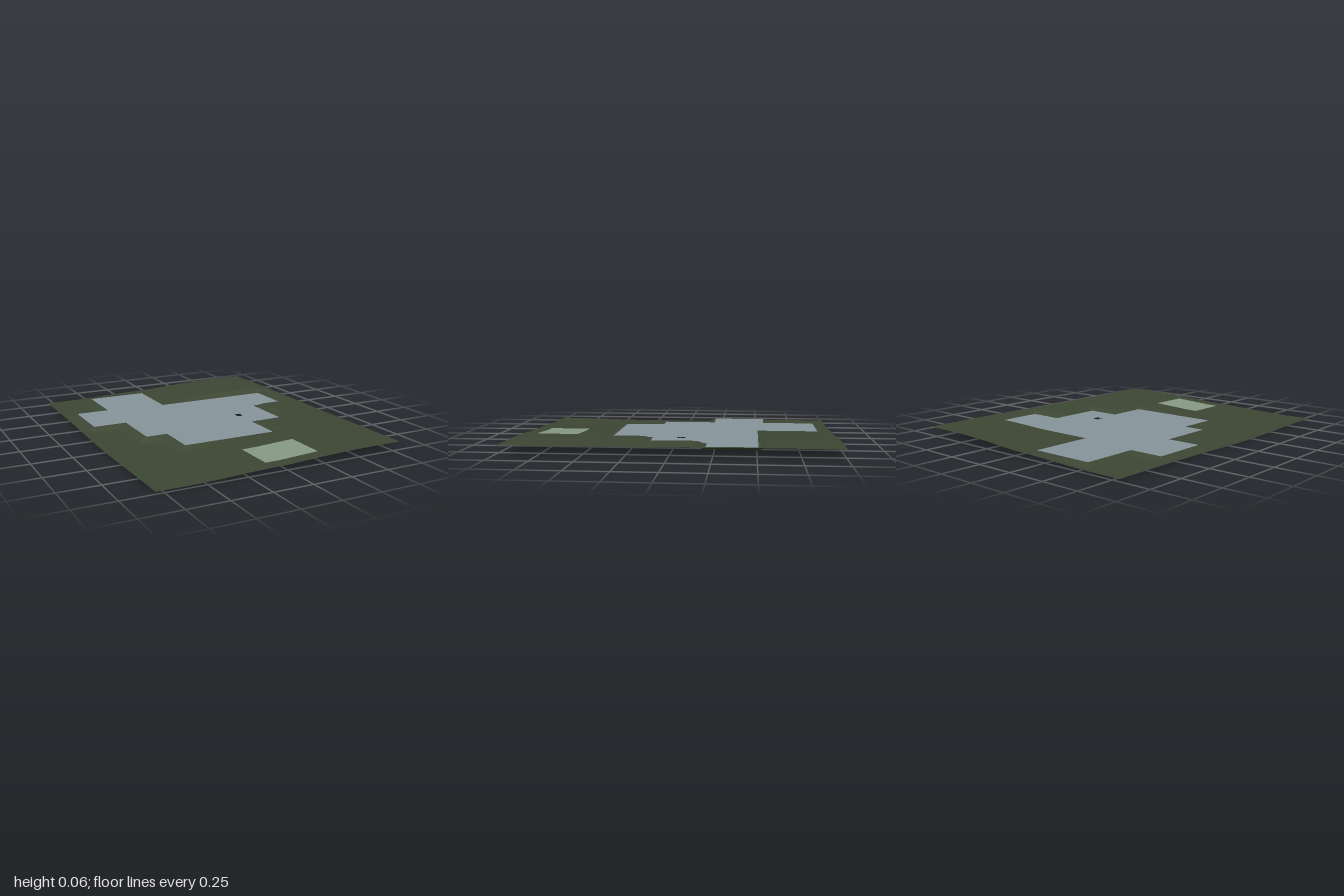
import * as THREE from 'three';

const PAD_Y = 0.03;
// [x0, x1, z0, z1]
const PAD = [
  [-0.495, -0.09, -0.91, -0.51],
  [-0.715, -0.495, -0.555, -0.2],
  [-0.495, 0.71, -0.51, -0.2],
  [-0.495, 0.485, -0.2, 0.155],
  [-0.355, 0.265, 0.155, 0.42],
];
const HOLE = [0.245, 0.285, -0.05, 0];
const PATCH = [-0.09, 0.265, 0.642, 0.91];

const inside = ([x0, x1, z0, z1], x, z) => x > x0 && x < x1 && z > z0 && z < z1;
const distance = ([x0, x1, z0, z1], x, z) =>
  Math.hypot(Math.max(x0 - x, 0, x - x1), Math.max(z0 - z, 0, z - z1));

// Gentle rise from left to right, levelled off where it meets the pad
function height(x, z) {
  const low = 0.016 + 0.014 * Math.exp(-(((z - 0.2) / 0.5) ** 2));
  const high = 0.021 + 0.007 * Math.exp(-(((z + 0.65) / 0.6) ** 2));
  const slope = x < 0
    ? -low * THREE.MathUtils.smoothstep(-x, 0, 0.65)
    : high * Math.sin(Math.min(x / 0.6, 1) * Math.PI / 2);
  const d = Math.min(...PAD.map((r) => distance(r, x, z)));
  return PAD_Y + slope * THREE.MathUtils.smoothstep(d, 0, 0.06);
}

// Evenly spaced grid lines plus the lines on which the parts begin and end
function gridLines(half, step, extra) {
  const lines = [...extra];
  const n = Math.round((2 * half) / step);
  for (let i = 0; i <= n; i++) {
    const v = -half + (2 * half * i) / n;
    if (extra.every((e) => Math.abs(e - v) > 0.004)) lines.push(v);
  }
  return [...new Set(lines)].sort((a, b) => a - b);
}

// Sheet of all grid cells whose centre passes the test
function sheet(name, material, xs, zs, test) {
  const pos = [];
  const index = [];
  for (const z of zs) for (const x of xs) pos.push(x, height(x, z), z);
  const w = xs.length;
  for (let j = 0; j < zs.length - 1; j++) {
    for (let i = 0; i < w - 1; i++) {
      if (!test((xs[i] + xs[i + 1]) / 2, (zs[j] + zs[j + 1]) / 2)) continue;
      const a = j * w + i;
      index.push(a, a + w, a + w + 1, a, a + w + 1, a + 1);
    }
  }
  const g = new THREE.BufferGeometry();
  g.setAttribute('position', new THREE.Float32BufferAttribute(pos, 3));
  g.setIndex(index);
  g.computeVertexNormals();
  const mesh = new THREE.Mesh(g, material);
  mesh.name = name;
  return mesh;
}

function paint(name, color) {
  const m = new THREE.MeshStandardMaterial({ color, side: THREE.DoubleSide });
  m.name = name;
  return m;
}

export function createModel() {
  const group = new THREE.Group();
  group.name = 'sitePlot';
  const grass = paint('darkGrass', 0x3d4734);
  const slab = paint('greySlab', 0x87959b);
  const lawn = paint('paleGreen', 0x879a84);

  const rects = [...PAD, HOLE, PATCH];
  const xs = gridLines(0.8, 0.02, rects.flatMap((r) => [r[0], r[1]]));
  const zs = gridLines(1, 0.02, rects.flatMap((r) => [r[2], r[3]]));

  const onPad = (x, z) => PAD.some((r) => inside(r, x, z));
  const onPatch = (x, z) => inside(PATCH, x, z);

  // Sloping ground around the pad and patch
  group.add(sheet('ground', grass, xs, zs, (x, z) => !onPad(x, z) && !onPatch(x, z)));
  // Level building pad with a small square opening
  group.add(sheet('buildingPad', slab, xs, zs, (x, z) => onPad(x, z) && !inside(HOLE, x, z)));
  // Small patch at the front
  group.add(sheet('frontPatch', lawn, xs, zs, onPatch));
  return group;
}
